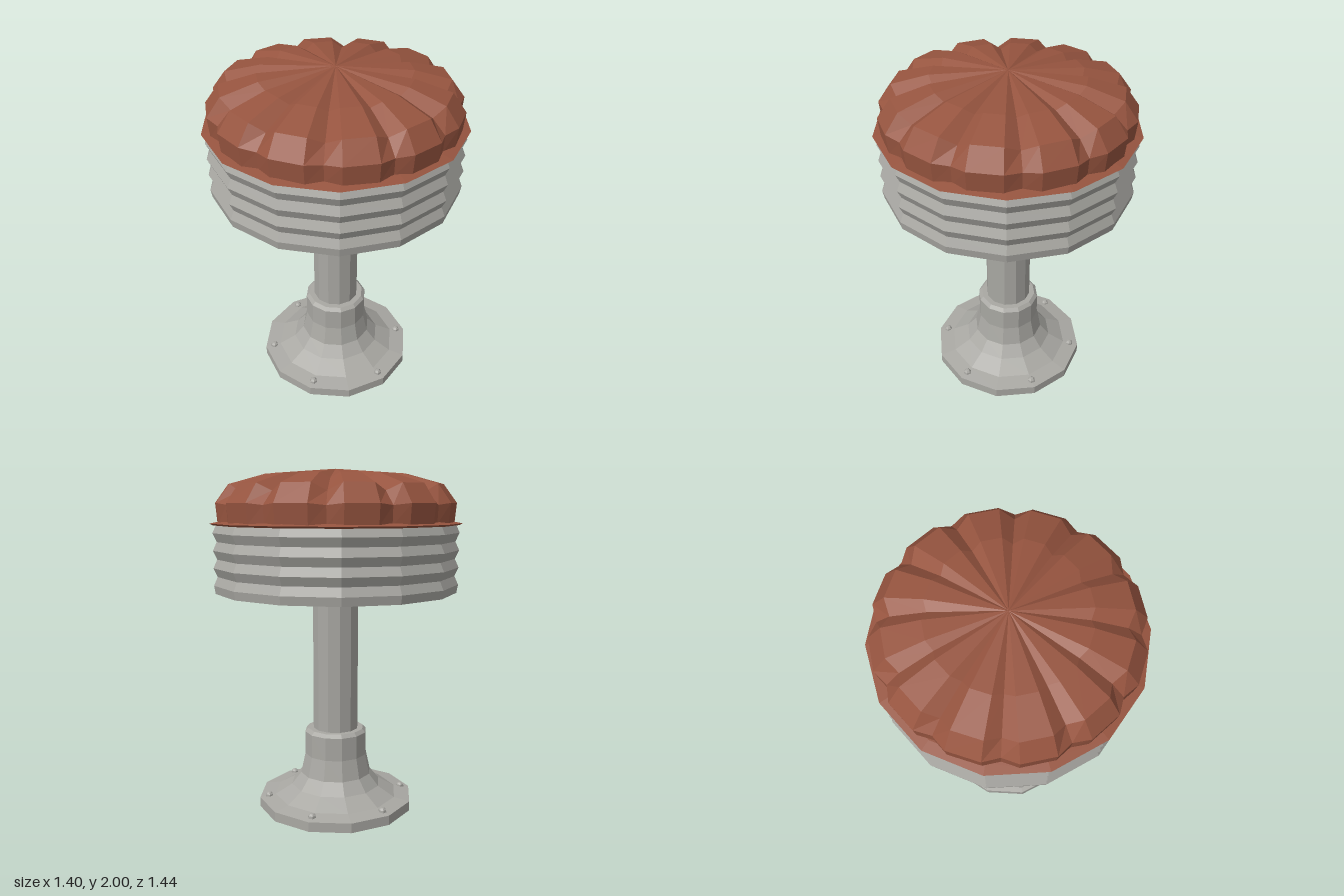
import * as THREE from 'three';

const metal = new THREE.MeshStandardMaterial({ color: 0xa9a8a3, flatShading: true });
metal.name = 'brushed metal';
const leather = new THREE.MeshStandardMaterial({ color: 0x96543f, flatShading: true });
leather.name = 'brown leather';

function lathe(name, profile, sides, material) {
  const points = profile.map(([r, y]) => new THREE.Vector2(r, y));
  const mesh = new THREE.Mesh(new THREE.LatheGeometry(points, sides), material);
  mesh.name = name;
  return mesh;
}

// Cushion: twelve puffed lobes parted by creases, meeting at the crown.
function cushion() {
  const lobe = [[0.675, 1.7], [0.685, 1.81], [0.61, 1.912], [0.41, 1.968]];
  const crease = [[0.645, 1.7], [0.65, 1.8], [0.575, 1.872], [0.39, 1.94]];
  const columns = [];
  for (let i = 0; i < 12; i++) {
    columns.push([i * 30 - 7.5, lobe], [i * 30 + 7.5, lobe], [i * 30 + 15, crease]);
  }
  const rows = lobe.length;
  const positions = [];
  for (const [degrees, profile] of columns) {
    const a = THREE.MathUtils.degToRad(degrees);
    for (const [r, y] of profile) positions.push(r * Math.sin(a), y, r * Math.cos(a));
  }
  const crown = columns.length * rows;
  positions.push(0, 2, 0);
  const index = [];
  for (let c = 0; c < columns.length; c++) {
    const a = c * rows;
    const b = ((c + 1) % columns.length) * rows;
    for (let r = 0; r < rows - 1; r++) {
      index.push(a + r, b + r, b + r + 1, a + r, b + r + 1, a + r + 1);
    }
    index.push(a + rows - 1, b + rows - 1, crown);
  }
  const geometry = new THREE.BufferGeometry();
  geometry.setAttribute('position', new THREE.Float32BufferAttribute(positions, 3));
  geometry.setIndex(index);
  geometry.computeVertexNormals();
  const mesh = new THREE.Mesh(geometry, leather);
  mesh.name = 'cushion';
  return mesh;
}

export function createModel() {
  const stool = new THREE.Group();
  stool.name = 'counterStool';

  // Flared foot with a collar around the column
  stool.add(lathe('base', [
    [0, 0], [0.465, 0], [0.465, 0.057], [0.37, 0.072], [0.27, 0.13], [0.213, 0.2],
    [0.187, 0.32], [0.187, 0.458], [0.168, 0.478], [0.13, 0.478],
  ], 12, metal));
  stool.add(lathe('column', [[0.135, 0.46], [0.135, 1.32]], 12, metal));

  // Six bolts on the flange
  const bolts = new THREE.Group();
  bolts.name = 'bolts';
  for (let i = 0; i < 6; i++) {
    const a = Math.PI / 6 + i * Math.PI / 3;
    const bolt = lathe('bolt', [[0.024, 0.06], [0.022, 0.076], [0.012, 0.086], [0, 0.088]], 6, metal);
    bolt.position.set(0.41 * Math.sin(a), 0, 0.41 * Math.cos(a));
    bolts.add(bolt);
  }
  stool.add(bolts);

  // Ribbed seat band, closed underneath
  const band = [[0, 1.308], [0.697, 1.308]];
  for (let i = 0; i < 4; i++) {
    const y = 1.355 + i * 0.097;
    band.push([0.705, y], [0.683, y + 0.048]);
  }
  band.push([0, 1.694]);
  stool.add(lathe('seatBand', band, 14, metal));

  // Thin piping between band and cushion
  stool.add(lathe('piping', [[0.6, 1.685], [0.7, 1.688], [0.72, 1.698], [0.66, 1.71], [0.6, 1.71]], 14, leather));
  stool.add(cushion());
  return stool;
}
